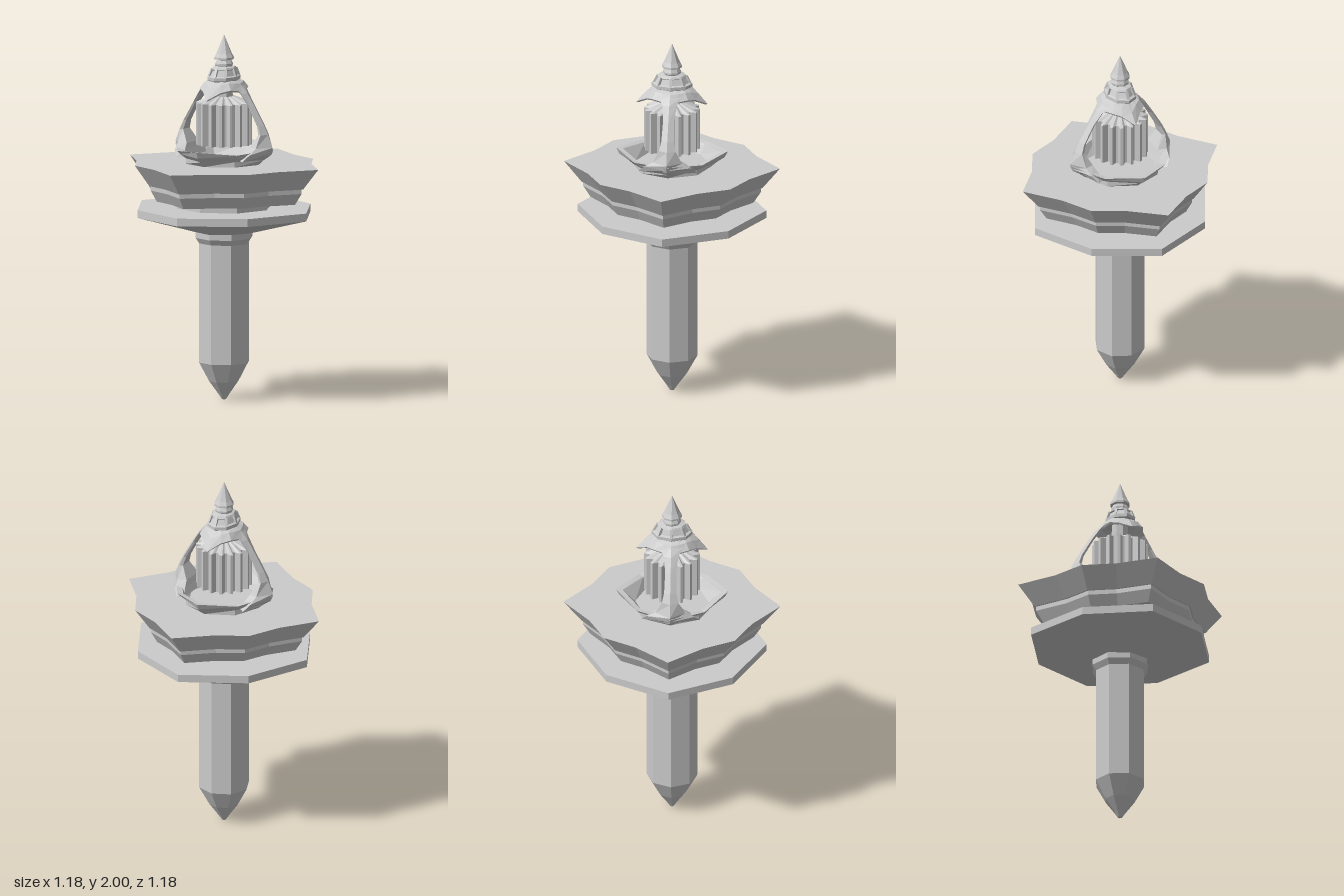
import * as THREE from 'three';

const mat = new THREE.MeshStandardMaterial({ color: 0xcccccc, flatShading: true, side: THREE.DoubleSide });

// One horizontal ring; radius factors in shape repeat around the circle, lift raises single points
function ring(y, rx, rz = rx, n = 8, shape = [1], lift = [0]) {
  return Array.from({ length: n }, (_, i) => {
    const a = (i / n) * Math.PI * 2, s = shape[i % shape.length];
    return new THREE.Vector3(Math.cos(a) * rx * s, y + lift[i % lift.length], Math.sin(a) * rz * s);
  });
}

// Skin through rings listed from bottom to top
function loft(rings, caps = true) {
  const pos = [], n = rings[0].length;
  const tri = (...p) => p.forEach(v => pos.push(v.x, v.y, v.z));
  for (let j = 0; j < rings.length - 1; j++) {
    for (let i = 0; i < n; i++) {
      const k = (i + 1) % n, [a, b, c, d] = [rings[j][i], rings[j][k], rings[j + 1][i], rings[j + 1][k]];
      tri(a, c, b);
      tri(b, c, d);
    }
  }
  const cap = (r, up) => {
    const m = r.reduce((s, v) => s.add(v), new THREE.Vector3()).divideScalar(n);
    r.forEach((v, i) => up ? tri(m, r[(i + 1) % n], v) : tri(m, v, r[(i + 1) % n]));
  };
  if (caps) { cap(rings[0], false); cap(rings[rings.length - 1], true); }
  const g = new THREE.BufferGeometry();
  g.setAttribute('position', new THREE.Float32BufferAttribute(pos, 3));
  g.computeVertexNormals();
  return g;
}

export function createModel() {
  const model = new THREE.Group();
  const add = (name, geo, parent = model) => {
    const m = new THREE.Mesh(geo, mat);
    m.name = name;
    parent.add(m);
    return m;
  };
  const stack = (name, rows) => add(name, loft(rows.map(r => ring(...r))));

  // Pointed octagonal column with its collar
  stack('column', [[0, 0.012], [0.03, 0.032], [0.1, 0.083], [0.205, 0.14], [0.88, 0.14]]);
  stack('collar', [[0.86, 0.14], [0.89, 0.16], [0.93, 0.16]]);

  // Lower octagonal plate, neck and the two star-shaped tiers
  const oct = [1, 0.945];
  stack('lowerPlate', [[0.92, 0.16], [1.01, 0.43], [1.012, 0.515], [1.055, 0.515]]
    .map(([y, r]) => [y, r, r, 8, oct]).filter((_, i) => i !== 1));
  stack('neck', [[1.05, 0.265], [1.11, 0.265]]);
  const star = [1, 0.812, 0.851, 0.812];
  stack('middleTier', [[1.098, 0.445], [1.16, 0.485], [1.19, 0.485]].map(([y, r]) => [y, r, r, 16, star]));
  stack('upperTier', [[1.185, 0.495], [1.3, 0.59]].map(([y, r]) => [y, r, r, 16, star]));

  // Shallow bowl with a rim that rises at its four corners
  const bowl = [1, 0.86], dip = [0, -0.018];
  stack('bowl', [
    [1.3, 0.215], [1.33, 0.25, 0.25, 8, bowl], [1.355, 0.288, 0.288, 8, bowl],
    [1.39, 0.305, 0.305, 8, bowl, dip], [1.385, 0.268, 0.268, 8, bowl, dip], [1.315, 0.2]
  ]);

  // Two side struts: height, outer x, inner x, half width
  const rows = [
    [1.335, 0.25, 0.17, 0.16], [1.37, 0.295, 0.185, 0.13], [1.4, 0.303, 0.197, 0.08],
    [1.47, 0.275, 0.235, 0.045], [1.52, 0.25, 0.22, 0.034], [1.62, 0.191, 0.165, 0.03],
    [1.69, 0.146, 0.118, 0.04], [1.73, 0.11, 0.08, 0.065], [1.757, 0.07, 0.04, 0.075]
  ];
  const strutGeo = loft(rows.map(([y, xo, xi, w]) => {
    const xs = xi + (xo - xi) * 0.45;
    return [[xo, 0], [xs, w], [xi, w * 0.8], [xi, -w * 0.8], [xs, -w]].map(([x, z]) => new THREE.Vector3(x, y, z));
  }));
  ['leftStrut', 'rightStrut'].forEach((name, i) => { add(name, strutGeo).rotation.y = i * Math.PI; });

  // Ribbed core floating inside, with its ribbed shoulder and shaft
  const teeth = 16, rib = Array.from({ length: 4 }, (_, i) => (i < 2 ? 1 : 0.8));
  const core = add('ribbedCore', loft([
    ring(1.4, 0.152, 0.152, teeth * 4, rib), ring(1.63, 0.152, 0.152, teeth * 4, rib),
    ring(1.665, 0.06, 0.06, teeth * 4, rib)
  ]));
  core.rotation.y = Math.PI / (teeth * 4);
  stack('coreShaft', [[1.63, 0.052], [1.75, 0.045]]);

  // Canopy with a drooping beak at front and back
  const edge = [[0.13, 1.7], [0.125, 1.705], [0.138, 1.712], [0.145, 1.7], [0.195, 1.66]];
  const eave = (t, bulge) => Array.from({ length: 16 }, (_, i) => {
    const k = i % 8, [r, y] = edge[k > 4 ? 8 - k : k], a = (i / 16) * Math.PI * 2;
    return new THREE.Vector3(
      Math.cos(a) * (0.07 + (r - 0.07) * t), 1.758 + (y - 1.758) * t + bulge,
      Math.sin(a) * (0.085 + (r - 0.085) * t));
  });
  add('canopy', loft([eave(0.9, -0.014), eave(1, 0), eave(0.55, 0.014), eave(0, 0)], false));

  // Oval cap with slanted ribs framing its panels
  stack('cap', [[1.745, 0.07, 0.09], [1.757, 0.083, 0.112], [1.775, 0.083, 0.112], [1.78, 0.07, 0.096],
    [1.81, 0.058, 0.078], [1.815, 0.066, 0.083], [1.825, 0.06, 0.076], [1.832, 0.04, 0.045]]);
  const ribs = new THREE.Group();
  ribs.name = 'capRibs';
  model.add(ribs);
  const low = ring(1.772, 0.074, 0.1), high = ring(1.818, 0.06, 0.077);
  low.forEach((p, i) => {
    const bar = add('capRib', new THREE.BoxGeometry(0.014, 0.014, p.distanceTo(high[i])), ribs);
    bar.position.copy(p).lerp(high[i], 0.5);
    bar.lookAt(high[i]);
  });

  // Beaded spire
  stack('spire', [[1.825, 0.042], [1.835, 0.05], [1.845, 0.05], [1.865, 0.04], [1.868, 0.055],
    [1.878, 0.055], [1.9, 0.043], [2, 0.001]]);
  return model;
}
